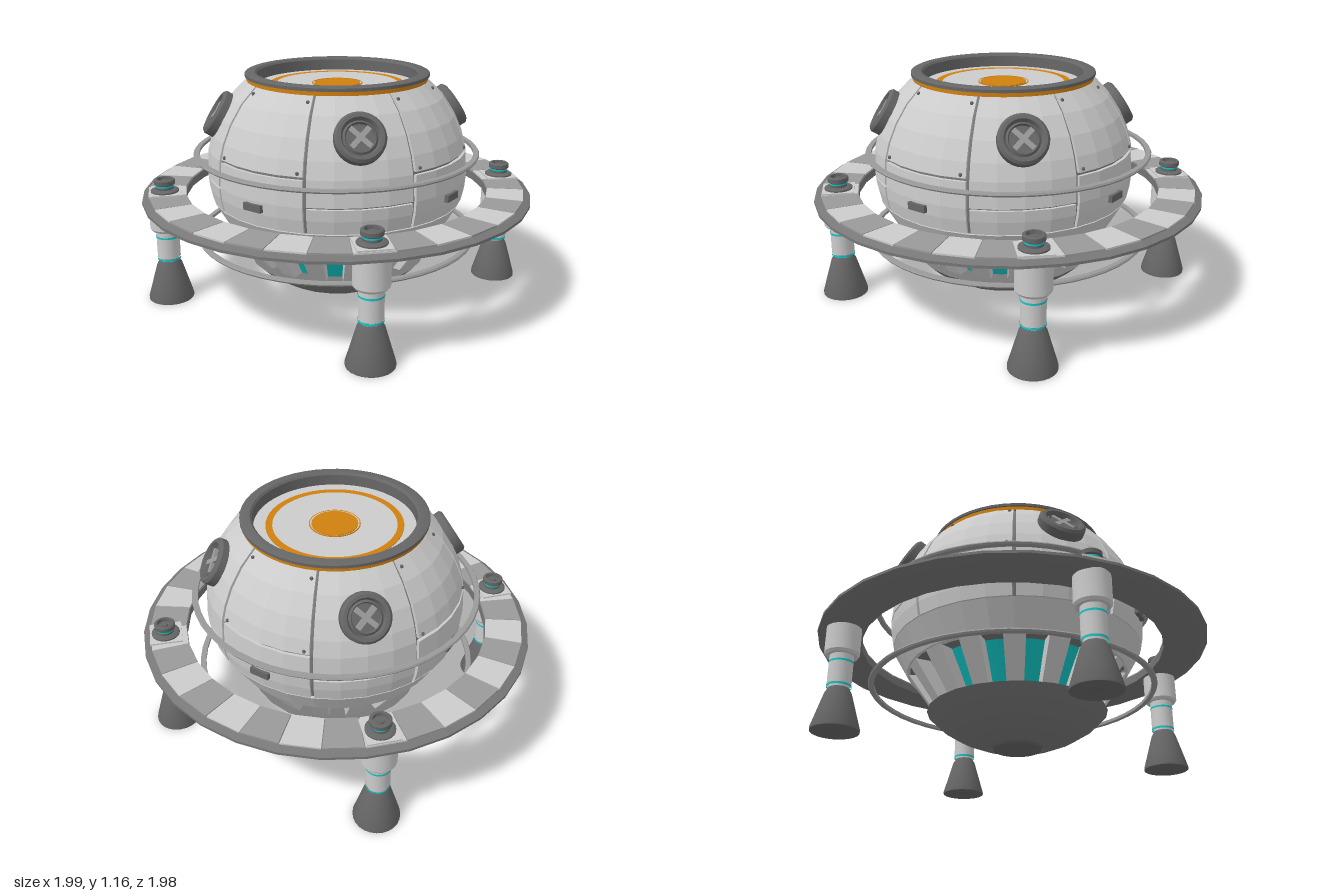
import * as THREE from 'three';
import { toCreasedNormals } from 'three/addons/utils/BufferGeometryUtils.js';

const mat = (color, flatShading = false) =>
  new THREE.MeshStandardMaterial({ color, flatShading, side: THREE.DoubleSide });
const RAD = Math.PI / 180;
const V = (p) => p.map(([x, y]) => new THREE.Vector2(x, y));

export function createModel() {
  const root = new THREE.Group();
  root.name = 'landingPod';
  const grey = mat(0xcccccc), greyFlat = mat(0xcccccc, true);
  const dark = mat(0x666666), darkFlat = mat(0x777777, true), mid = mat(0x999999, true);
  const cyan = mat(0x10c8c8), orange = mat(0xd08010);

  const add = (parent, name, geo, material, x = 0, y = 0, z = 0) => {
    const m = new THREE.Mesh(geo, material);
    m.name = name;
    m.position.set(x, y, z);
    parent.add(m);
    return m;
  };
  // Full turned part with crisp edges
  const turned = (parent, name, pts, material, segs = 32) =>
    add(parent, name, toCreasedNormals(new THREE.LatheGeometry(V(pts), segs), 0.6), material);
  // Turned slice of a closed profile, centred on an angle (0 = front), with end caps
  const wedge = (parent, name, pts, centre, width, segs, material) => {
    const g = new THREE.Group();
    g.name = name;
    const a = (centre - width / 2) * RAD, w = width * RAD;
    add(g, name + 'Skin', new THREE.LatheGeometry(V([...pts, pts[0]]), segs, a, w), material);
    for (const phi of [a, a + w])
      add(g, name + 'End', new THREE.ShapeGeometry(new THREE.Shape(V(pts))), material).rotation.y = phi - Math.PI / 2;
    parent.add(g);
  };

  // Hull, set slightly forward of the ring
  const hull = new THREE.Group();
  hull.name = 'hull';
  hull.position.z = 0.025;
  root.add(hull);
  const profile = [[0.565, 0.4], [0.64, 0.53], [0.655, 0.6], [0.66, 0.66], [0.652, 0.79],
    [0.63, 0.87], [0.59, 0.96], [0.53, 1.05], [0.455, 1.125]];
  const rAt = (y) => {
    const i = Math.max(1, profile.findIndex((p) => p[1] >= y - 1e-6));
    const [r0, y0] = profile[i - 1], [r1, y1] = profile[i];
    return r0 + (r1 - r0) * (y - y0) / (y1 - y0);
  };
  turned(hull, 'innerHull', [[0.4, 0.4], ...profile.map(([r, y]) => [r - 0.016, y]), [0.4, 1.125]], darkFlat);

  // Raised hull panels
  const panel = (name, y0, y1, angle, width) => {
    const ys = [y0, ...profile.map((p) => p[1]).filter((y) => y > y0 + 0.005 && y < y1 - 0.005), y1];
    const pts = [...ys.map((y) => [rAt(y), y]), ...ys.slice().reverse().map((y) => [rAt(y) - 0.03, y])];
    wedge(hull, name, pts, angle, width, 4, greyFlat);
  };
  // Point on the hull surface
  const onHull = (obj, angle, y, out = 0) => {
    const r = rAt(y) + out;
    obj.position.set(r * Math.sin(angle * RAD), y, r * Math.cos(angle * RAD));
    obj.rotation.y = angle * RAD;
  };
  for (let i = 0; i < 8; i++) {
    const a = i * 45;
    if (i % 2 === 0) {
      panel('portPanel', 0.665, 1.125, a, 43.5);
      panel('lowerHatch', 0.535, 0.655, a, 43.5);
    } else {
      panel('upperPanel', 0.8, 1.125, a, 43.5);
      panel('lowerPanel', 0.535, 0.785, a, 43.5);
      onHull(add(hull, 'handle', new THREE.BoxGeometry(0.1, 0.035, 0.03), dark), a, 0.63);
      for (const y of [0.815, 1.1])
        for (const s of [-1, 1])
          onHull(add(hull, 'rivet', new THREE.SphereGeometry(0.009, 8, 6), dark), a + s * 19.5, y);
    }
    panel('skirtPanel', 0.4, 0.53, a, 45);
  }

  // Four round ports with crossed bars
  for (let i = 0; i < 4; i++) {
    const pivot = new THREE.Group();
    pivot.name = 'port';
    onHull(pivot, i * 90, 0.965, 0.005);
    const port = new THREE.Group();
    port.name = 'portFrame';
    port.rotation.x = -32 * RAD;
    pivot.add(port);
    hull.add(pivot);
    turned(port, 'portRim', [[0, -0.05], [0.118, -0.05], [0.118, 0.02], [0.106, 0.032], [0.09, 0.032],
      [0.08, 0.01], [0.07, 0.02], [0.064, 0.005], [0, 0.005]], dark, 28).rotation.x = Math.PI / 2;
    for (const s of [-1, 1])
      add(port, 'crossBar', new THREE.BoxGeometry(0.025, 0.125, 0.02), mid, 0, 0, 0.013).rotation.z = s * Math.PI / 4;
  }

  // Recessed roof
  turned(hull, 'roofBand', [[0.4, 1.125], [0.452, 1.125], [0.452, 1.15], [0.4, 1.15]], orange, 48);
  turned(hull, 'roofRim', [[0.4, 1.09], [0.4, 1.15], [0.46, 1.145], [0.46, 1.16], [0.45, 1.165],
    [0.41, 1.165], [0.4, 1.155], [0.398, 1.09]], dark, 48);
  turned(hull, 'roofPlate', [[0.4, 1.1], [0, 1.1]], grey, 48);
  for (const [name, r0, r1] of [['roofRing', 0.305, 0.338], ['roofThinRing', 0.121, 0.126], ['roofDisc', 0, 0.114]])
    turned(hull, name, [[r1, 1.1], [r1, 1.104], [r0, 1.104]], orange, 48);

  // Glowing windows behind slanted ribs
  turned(hull, 'windowCone', [[0.345, 0.19], [0.48, 0.41]], cyan);
  for (let i = 0; i < 16; i++)
    wedge(hull, 'rib', [[0.345, 0.2], [0.415, 0.2], [0.555, 0.4], [0.475, 0.4]], i * 22.5, 11, 1, greyFlat);

  // Bottom bowl
  turned(hull, 'bowl', [[0, 0.2], [0.4, 0.2], [0.455, 0.197], [0.4, 0.145], [0.31, 0.088], [0.22, 0.05],
    [0.13, 0.022]].reverse(), darkFlat, 24);
  turned(hull, 'bowlCap', [[0, 0.012], [0.12, 0.012], [0.13, 0.025]], dark, 24);

  // Landing ring with alternating deck plates
  const ring = new THREE.Group();
  ring.name = 'ring';
  root.add(ring);
  add(ring, 'ringBase', new THREE.LatheGeometry(V([[0.775, 0.562], [0.775, 0.52], [0.955, 0.52], [0.995, 0.535],
    [0.995, 0.548], [0.96, 0.562], [0.775, 0.562]]), 32, 5.625 * RAD), darkFlat);
  for (let i = 0; i < 32; i++)
    wedge(ring, 'deckPlate', [[0.778, 0.555], [0.96, 0.555], [0.96, 0.57], [0.778, 0.57]],
      i * 11.25, 11, 1, i % 2 ? mid : greyFlat);

  // Thin guard hoops
  for (const y of [0.755, 0.318])
    turned(root, 'guardHoop', [[0.7, y - 0.008], [0.725, y - 0.008], [0.73, y], [0.725, y + 0.008],
      [0.7, y + 0.008], [0.7, y - 0.008]], mid, 48);

  // Four thruster legs
  for (const [x, z] of [[0.88, 0.025], [-0.88, 0.025], [0.005, 0.873], [0.005, -0.873]]) {
    const leg = new THREE.Group();
    leg.name = 'thrusterLeg';
    leg.position.set(x, 0, z);
    root.add(leg);
    turned(leg, 'nozzle', [[0, 0.004], [0.108, 0.004], [0.115, 0], [0.115, 0.012], [0.092, 0.09], [0.064, 0.185],
      [0.05, 0.21], [0, 0.21]], dark, 24);
    turned(leg, 'strut', [[0.05, 0.2], [0.05, 0.222], [0.058, 0.228], [0.058, 0.375], [0.05, 0.38]], grey, 24);
    turned(leg, 'sleeve', [[0.05, 0.375], [0.076, 0.375], [0.085, 0.388], [0.085, 0.53]], grey, 24);
    for (const y of [0.34, 0.221])
      add(leg, 'glowStripe', new THREE.CylinderGeometry(0.0595, 0.0595, 0.01, 24, 1, true), cyan, 0, y, 0);
    add(leg, 'footPlate', new THREE.BoxGeometry(0.16, 0.012, 0.16), grey, 0, 0.572, 0).rotation.y = Math.atan2(x, z);
    turned(leg, 'capBase', [[0.07, 0.57], [0.07, 0.585], [0.058, 0.592], [0.04, 0.592]], dark, 24);
    turned(leg, 'capTop', [[0.043, 0.585], [0.043, 0.612], [0.052, 0.618], [0.052, 0.638], [0.046, 0.643],
      [0.036, 0.643], [0.034, 0.625], [0.018, 0.625], [0.016, 0.635], [0, 0.635]], dark, 24);
    add(leg, 'capGlow', new THREE.CylinderGeometry(0.0445, 0.0445, 0.008, 24, 1, true), cyan, 0, 0.608, 0);
  }
  return root;
}
